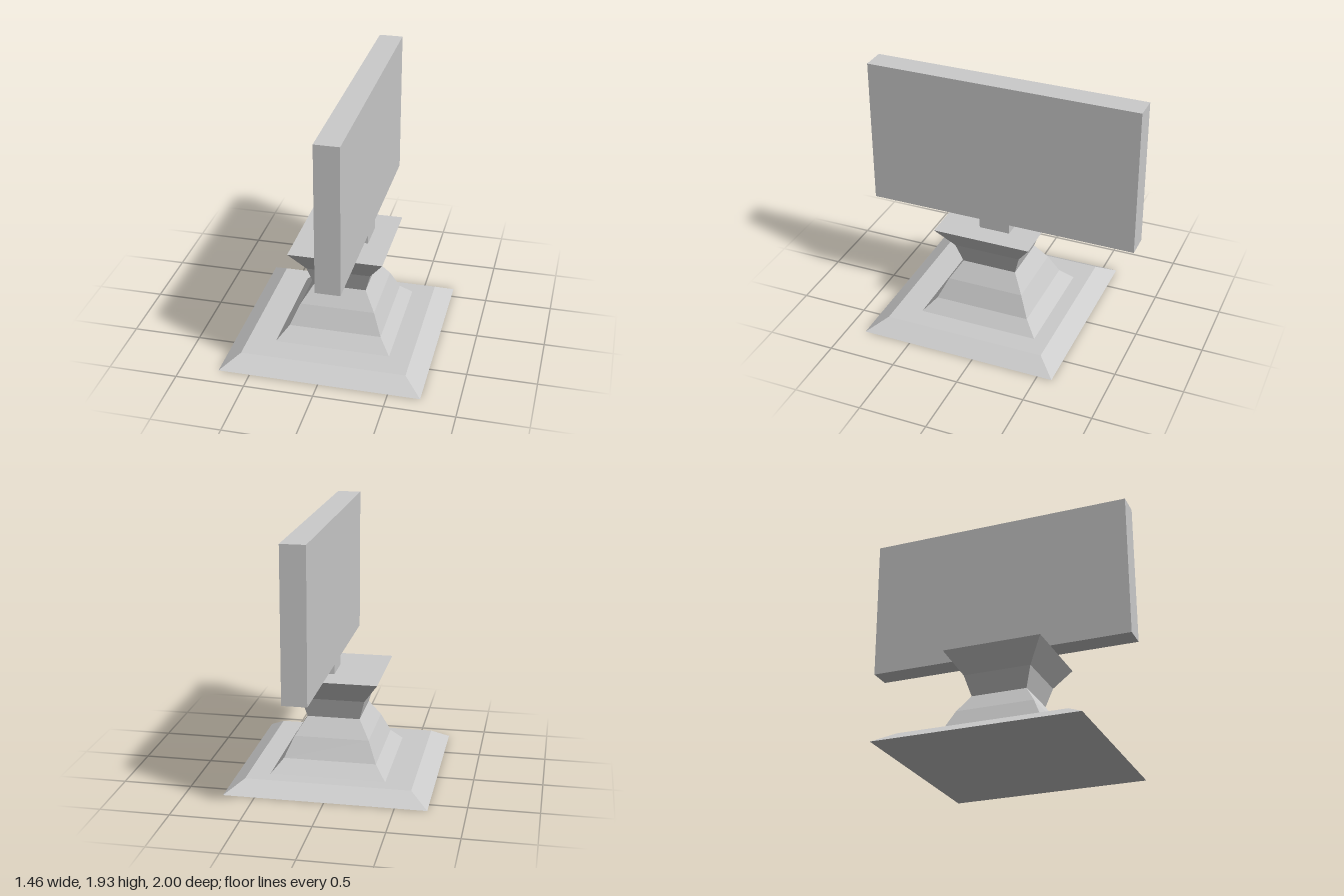
import * as THREE from 'three';

const material = new THREE.MeshStandardMaterial({ color: 0xcccccc, flatShading: true });

// Lofts rectangles [y, half width x, half depth z] around a vertical axis and caps both ends.
function loftRectangles(sections, cx, cz) {
  const rings = sections.map(([y, hx, hz]) => [
    [cx - hx, y, cz + hz],
    [cx + hx, y, cz + hz],
    [cx + hx, y, cz - hz],
    [cx - hx, y, cz - hz],
  ]);
  const positions = [];
  const quad = (a, b, c, d) => positions.push(...a, ...b, ...c, ...a, ...c, ...d);
  for (let i = 0; i < rings.length - 1; i++) {
    const lower = rings[i], upper = rings[i + 1];
    for (let j = 0; j < 4; j++) {
      const k = (j + 1) % 4;
      quad(lower[j], lower[k], upper[k], upper[j]);
    }
  }
  quad(...rings[rings.length - 1]);
  quad(...[...rings[0]].reverse());
  const geometry = new THREE.BufferGeometry();
  geometry.setAttribute('position', new THREE.Float32BufferAttribute(positions, 3));
  geometry.computeVertexNormals();
  return geometry;
}

function addPart(group, name, geometry, x = 0, y = 0, z = 0) {
  const mesh = new THREE.Mesh(geometry, material);
  mesh.name = name;
  mesh.position.set(x, y, z);
  group.add(mesh);
}

export function createModel() {
  const group = new THREE.Group();
  group.name = 'pedestalSign';

  // Bevelled ground slab
  addPart(group, 'baseSlab', loftRectangles([
    [0, 0.73, 0.735],
    [0.085, 0.6, 0.603],
  ], 0, 0.127));

  // Waisted pedestal, flaring out to a flat top
  addPart(group, 'pedestal', loftRectangles([
    [0.085, 0.42, 0.448],
    [0.18, 0.338, 0.358],
    [0.33, 0.273, 0.287],
    [0.46, 0.192, 0.205],
    [0.61, 0.233, 0.25],
    [0.775, 0.343, 0.365],
  ], 0.022, 0.084));

  // Short neck carrying the upright panel
  addPart(group, 'neck', new THREE.BoxGeometry(0.175, 0.07, 0.23), 0.113, 0.81, 0.045);
  addPart(group, 'panel', new THREE.BoxGeometry(0.175, 1.08, 2), 0.113, 1.385, 0);

  return group;
}
